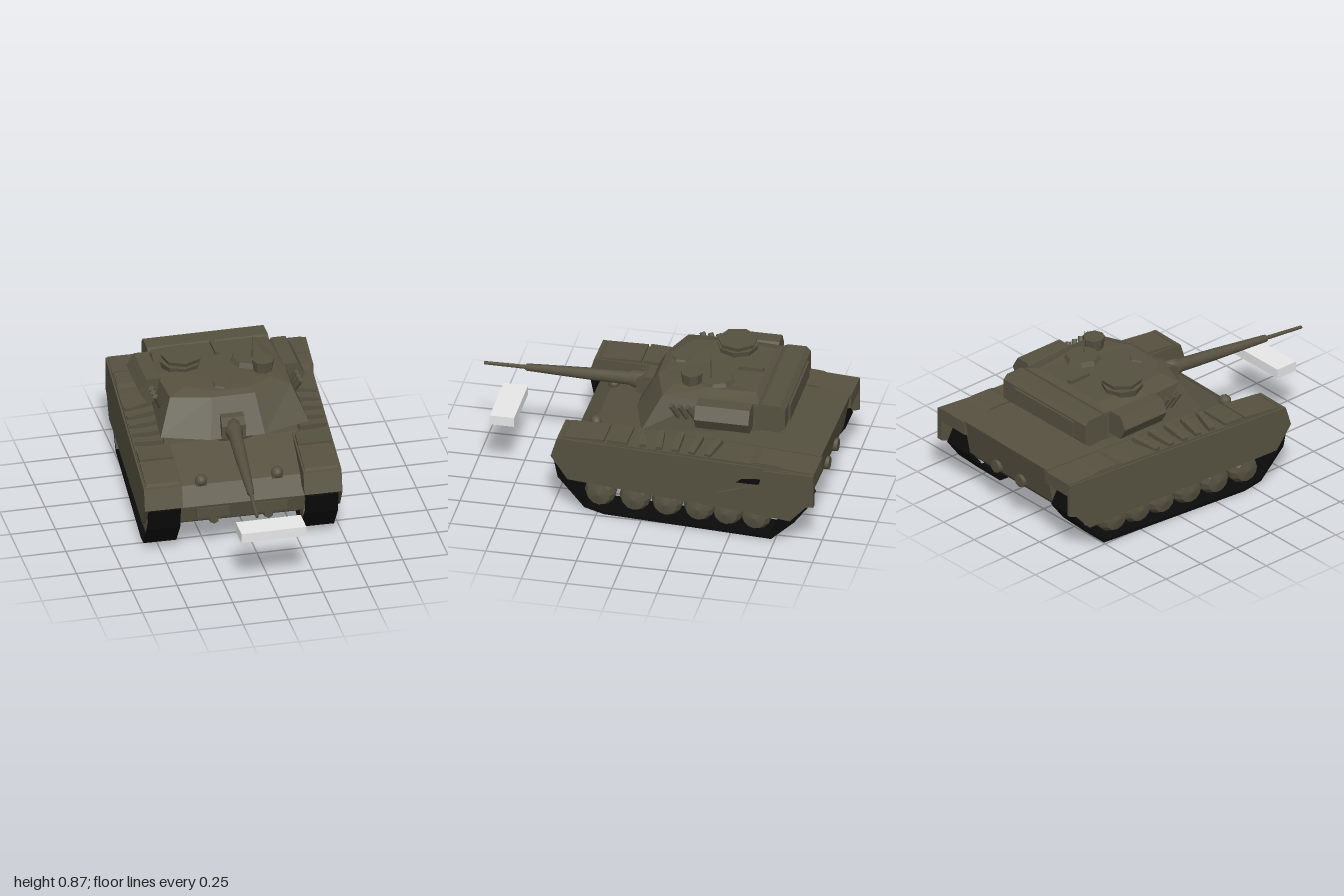
import * as THREE from 'three';

export function createModel() {
  const root = new THREE.Group();
  root.name = 'tank';
  const mat = (name, color) => {
    const m = new THREE.MeshStandardMaterial({ color });
    m.name = name;
    return m;
  };
  const olive = mat('olive paint', 0x565140);
  const black = mat('track black', 0x0a0a0a);
  const grey = mat('light grey', 0xe7e7e7);

  // Hull and gun stand slightly skewed to the axes; the turret is straight
  const skew = new THREE.Matrix4().set(
    1, 0, -0.085, -0.03,
    0, 1, 0, 0,
    0.02, 0, 1, 0,
    0, 0, 0, 1);
  const straight = new THREE.Matrix4();
  const turretPlace = new THREE.Matrix4().makeTranslation(-0.012, 0, 0);

  function add(name, geo, place = skew, material = olive) {
    const mesh = new THREE.Mesh(geo.applyMatrix4(place), material);
    mesh.name = name;
    root.add(mesh);
  }

  // Side profile of [z, y] points, extruded from x0 to x1
  const toShape = pts => new THREE.Shape(pts.map(p => new THREE.Vector2(p[0], p[1])));
  function slab(pts, x0, x1, hole) {
    const shape = toShape(pts);
    if (hole) shape.holes.push(toShape(hole));
    return new THREE.ExtrudeGeometry(shape, { depth: x1 - x0, bevelEnabled: false })
      .rotateY(-Math.PI / 2).translate(x1, 0, 0);
  }
  const box = (x0, x1, y0, y1, z0, z1) => new THREE.BoxGeometry(x1 - x0, y1 - y0, z1 - z0)
    .translate((x0 + x1) / 2, (y0 + y1) / 2, (z0 + z1) / 2);
  const faceted = geo => {
    const g = geo.toNonIndexed();
    g.computeVertexNormals();
    return g;
  };
  const drum = (rTop, rBottom, y0, y1, x, z, sides = 8) =>
    faceted(new THREE.CylinderGeometry(rTop, rBottom, y1 - y0, sides))
      .translate(x, (y0 + y1) / 2, z);

  // Closed solid between rings of [x, y, z] points with equal counts
  function loft(rings) {
    const pos = [];
    const tri = (a, b, c) => pos.push(...a, ...b, ...c);
    const n = rings[0].length;
    for (let r = 0; r < rings.length - 1; r++) {
      for (let i = 0; i < n; i++) {
        const j = (i + 1) % n, lo = rings[r], hi = rings[r + 1];
        tri(lo[i], lo[j], hi[j]);
        tri(lo[i], hi[j], hi[i]);
      }
    }
    const first = rings[0], last = rings[rings.length - 1];
    for (let i = 1; i < n - 1; i++) {
      tri(first[0], first[i + 1], first[i]);
      tri(last[0], last[i], last[i + 1]);
    }
    const g = new THREE.BufferGeometry();
    g.setAttribute('position', new THREE.Float32BufferAttribute(pos, 3));
    g.computeVertexNormals();
    return g;
  }
  // Mirrors half a ring, listed front to back on the +x side
  const ring = half => [...half, ...half.slice().reverse().map(([x, y, z]) => [-x, y, z])];

  // Hull between the tracks
  add('hull', slab([[0.33, 0.15], [0.41, 0.2], [0.435, 0.3], [0.33, 0.375], [0.02, 0.465],
    [-0.55, 0.475], [-0.98, 0.47], [-0.94, 0.26], [-0.83, 0.15]], -0.345, 0.345));
  for (const x of [-0.1, 0.1]) {
    add('rearPort', new THREE.CylinderGeometry(0.035, 0.04, 0.05, 10)
      .rotateX(-Math.PI / 2).translate(x, 0.29, -0.945));
  }

  // Nose details
  for (const s of [-1, 1]) {
    add('nosePlate', box(s * 0.16 - 0.09, s * 0.16 + 0.09, 0.23, 0.285, 0.39, 0.44));
    add('towHook', new THREE.CylinderGeometry(0.025, 0.035, 0.05, 6)
      .rotateX(Math.PI / 2).translate(s * 0.15, 0.195, 0.39));
    add('headlight', new THREE.IcosahedronGeometry(0.034, 1).translate(s * 0.21, 0.395, 0.32));
    add('headlightFoot', box(s * 0.21 - 0.03, s * 0.21 + 0.03, 0.34, 0.385, 0.27, 0.34));
  }

  // Tracks, wheels, fenders and skirts on both sides
  const trackOuter = [[0.2, 0.01], [0.31, 0.035], [0.46, 0.2], [0.485, 0.32], [0.4, 0.345],
    [-0.9, 0.345], [-0.95, 0.25], [-0.87, 0.14], [-0.74, 0.015]];
  const trackInner = [[0.2, 0.028], [0.3, 0.052], [0.443, 0.21], [0.46, 0.3], [0.39, 0.325],
    [-0.88, 0.325], [-0.925, 0.25], [-0.855, 0.155], [-0.73, 0.033]];
  for (const s of [-1, 1]) {
    const span = (a, b) => (s > 0 ? [a, b] : [-b, -a]);
    add('track', slab(trackOuter, ...span(0.345, 0.525), trackInner), skew, black);

    const wheel = (name, z, y, r) => {
      const pts = [[0, -0.08], [r * 0.9, -0.08], [r, -0.02], [r, 0.03], [r * 0.75, 0.07], [0, 0.085]];
      const g = faceted(new THREE.LatheGeometry(pts.map(p => new THREE.Vector2(...p)), 12));
      add(name, g.rotateZ(-s * Math.PI / 2).translate(s * 0.435, y, z));
    };
    for (const z of [0.235, 0.04, -0.14, -0.32, -0.48, -0.64]) wheel('roadWheel', z, 0.118, 0.086);
    wheel('idlerWheel', 0.385, 0.24, 0.068);
    wheel('driveSprocket', -0.83, 0.24, 0.075);

    add('sponson', slab([[0.495, 0.335], [0.46, 0.45], [0.1, 0.462], [-0.55, 0.472],
      [-0.985, 0.465], [-0.985, 0.39], [-0.88, 0.345]], ...span(0.335, 0.535)));
    add('sideSkirt', slab([[0.4, 0.205], [0.495, 0.335], [0.46, 0.45], [-0.985, 0.46],
      [-0.985, 0.27], [-0.94, 0.255], [-0.85, 0.155], [-0.6, 0.17]], ...span(0.525, 0.545)));
    add('fenderBox', slab([[0.455, 0.445], [0.42, 0.46], [0.2, 0.475], [0.2, 0.445]],
      ...span(0.345, 0.53)));
    add('fenderLid', box(...span(0.345, 0.53), 0.45, 0.48, 0.07, 0.185));

    // Tools lashed along the fender
    for (let i = 0; i < 5; i++) {
      add('fenderTool', box(-0.08, 0.08, -0.012, 0.016, -0.018, 0.018)
        .rotateY(s * (0.25 - 0.12 * i)).rotateZ(-s * 0.12)
        .translate(s * 0.45, 0.478, -i * 0.1));
    }
    add('rearFenderBin', slab([[-0.57, 0.46], [-0.66, 0.48], [-0.78, 0.477], [-0.85, 0.46]],
      ...span(0.36, 0.53)));
  }
  // Rear side panel and dark notch on the left flank
  add('rearSidePanel', slab([[-0.44, 0.27], [-0.68, 0.36], [-0.7, 0.45], [-0.985, 0.46],
    [-0.985, 0.27]], 0.54, 0.56));
  add('skirtNotch', slab([[-0.55, 0.35], [-0.69, 0.355], [-0.69, 0.39], [-0.58, 0.375]],
    0.545, 0.55), skew, black);

  // Turret
  add('turretRing', drum(0.25, 0.23, 0.46, 0.53, 0, -0.18, 16), turretPlace);
  const lower = [[0.15, 0.51, 0.1], [0.41, 0.515, 0.02], [0.38, 0.53, -0.3], [0.33, 0.54, -0.61]];
  const upper = [[0.12, 0.71, -0.01], [0.335, 0.7, -0.08], [0.35, 0.7, -0.32], [0.32, 0.7, -0.61]];
  const roof = [[0.1, 0.725, -0.05], [0.24, 0.728, -0.13], [0.26, 0.735, -0.32], [0.24, 0.725, -0.58]];
  add('turret', loft([ring(lower), ring(upper), ring(roof)]), turretPlace);
  add('bustleRack', slab([[-0.6, 0.55], [-0.6, 0.69], [-0.63, 0.705], [-0.73, 0.705],
    [-0.755, 0.68], [-0.755, 0.57], [-0.73, 0.545]], -0.335, 0.335), turretPlace);
  add('bustlePanel', box(-0.24, 0.24, 0.575, 0.67, -0.767, -0.755), turretPlace);
  for (const s of [-1, 1]) {
    // Hexagonal stowage bins on the turret flanks
    add('turretBin', faceted(new THREE.CylinderGeometry(0.08, 0.08, 0.3, 6))
      .rotateY(Math.PI / 6).rotateX(Math.PI / 2).translate(s * 0.38, 0.64, -0.43), turretPlace);
    // Smoke launcher tubes
    for (let i = 0; i < 3; i++) {
      add('smokeTube', new THREE.CylinderGeometry(0.016, 0.016, 0.1, 6)
        .rotateX(0.4).rotateZ(-s * 0.4).translate(s * 0.385, 0.64, -0.16 - i * 0.045), turretPlace);
    }
  }

  // Gun, drooping slightly towards the muzzle
  const gunProfile = [[0, 0], [0.05, 0], [0.05, 0.09], [0.038, 0.12], [0.033, 0.35],
    [0.02, 0.7], [0.011, 0.71], [0.009, 0.94], [0, 0.94]];
  add('gun', new THREE.LatheGeometry(gunProfile.map(p => new THREE.Vector2(...p)), 10)
    .rotateX(Math.PI / 2 + 0.055).translate(0, 0.575, 0.06));
  add('mantlet', slab([[0, 0.52], [0.13, 0.525], [0.13, 0.6], [0.08, 0.625], [0, 0.63]], -0.065, 0.065));

  // Roof fittings
  add('commanderCupola', drum(0.115, 0.105, 0.715, 0.755, -0.22, -0.38), straight);
  add('cupolaLid', drum(0.112, 0.105, 0.762, 0.785, -0.215, -0.38, 7), straight);
  add('cupolaHinge', box(-0.26, -0.18, 0.75, 0.765, -0.42, -0.34), straight);
  add('loaderHatch', drum(0.09, 0.105, 0.72, 0.752, 0.15, -0.34), straight);
  add('sightHead', drum(0.062, 0.05, 0.72, 0.795, 0.2, -0.215), straight);
  add('gunnerHatch', drum(0.05, 0.06, 0.72, 0.737, -0.05, -0.11, 6), straight);
  add('roofVent', box(-0.015, 0.01, 0.72, 0.745, -0.57, -0.43), straight);
  add('antenna', drum(0.002, 0.006, 0.74, 0.88, 0.165, -0.315, 6), straight);

  // Separate floating block ahead of the nose
  add('frontBlock', box(-0.18, 0.18, 0.317, 0.372, 0.77, 0.905), straight, grey);

  return root;
}
